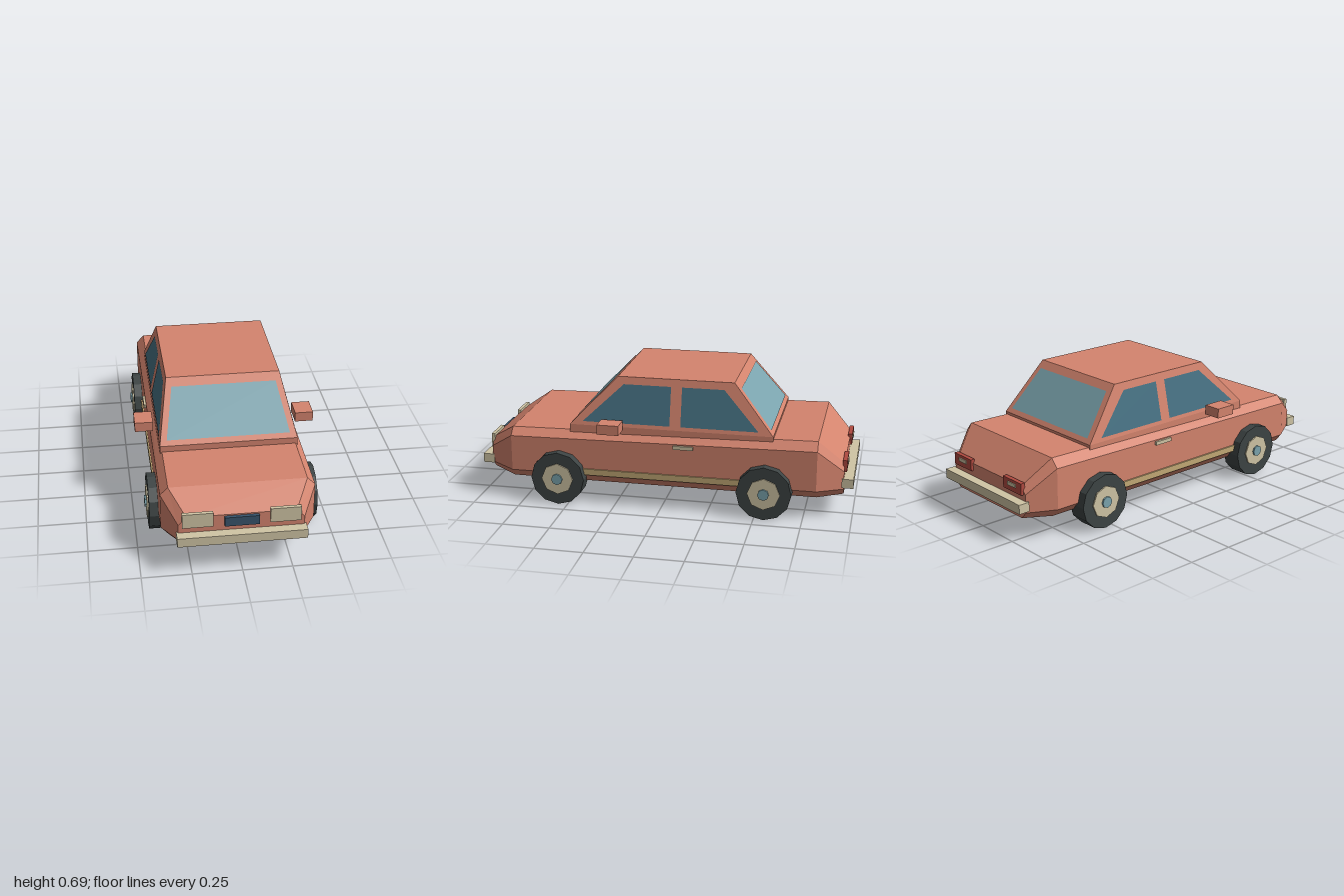
import * as THREE from 'three';

const mat = (name, color, side = THREE.FrontSide) => {
  const m = new THREE.MeshStandardMaterial({ color, flatShading: true, side });
  m.name = name;
  return m;
};

// Skin a row of closed rings and cap both ends
function loft(rings) {
  const pos = [];
  const tri = (...pts) => pts.forEach(p => pos.push(...p));
  const n = rings[0].length;
  for (let r = 0; r < rings.length - 1; r++) {
    for (let i = 0; i < n; i++) {
      const j = (i + 1) % n, a = rings[r], b = rings[r + 1];
      tri(a[i], a[j], b[j]);
      tri(a[i], b[j], b[i]);
    }
  }
  const first = rings[0], last = rings[rings.length - 1];
  for (let i = 1; i < n - 1; i++) {
    tri(first[0], first[i + 1], first[i]);
    tri(last[0], last[i], last[i + 1]);
  }
  return fromPositions(pos);
}

function fromPositions(pos) {
  const g = new THREE.BufferGeometry();
  g.setAttribute('position', new THREE.Float32BufferAttribute(pos, 3));
  g.computeVertexNormals();
  return g;
}

// Flat four-cornered panel
const panel = ([a, b, c, d]) => fromPositions([a, b, c, a, c, d].flat());

// Eight-sided body section with chamfered corners
function bodyRing(z, wide, flat, bottom, low, high, top) {
  return [[flat, bottom, z], [wide, low, z], [wide, high, z], [flat, top, z],
    [-flat, top, z], [-wide, high, z], [-wide, low, z], [-flat, bottom, z]];
}

// Cabin outline at height y: half width, front z, rear z
function cabinAt(y) {
  const t = Math.max(0, (y - 0.43) / 0.26);
  return { w: 0.355 - 0.058 * t, f: 0.495 - 0.252 * t, r: -0.585 + 0.212 * t };
}

export function createModel() {
  const car = new THREE.Group();
  car.name = 'car';
  const paint = mat('bodyPaint', 0xd4846e);
  const glass = mat('paleGlass', 0x7ba4ae, THREE.DoubleSide);
  const sideGlass = mat('sideGlass', 0x457082, THREE.DoubleSide);
  const cream = mat('creamTrim', 0xd0c5a5);
  const gold = mat('goldTrim', 0xc4aa76);
  const rubber = mat('tyreRubber', 0x3d4444);
  const navy = mat('grilleNavy', 0x38546c);
  const red = mat('lampRed', 0xb04a40);

  const add = (name, geo, material) => {
    const m = new THREE.Mesh(geo, material);
    m.name = name;
    car.add(m);
    return m;
  };
  // Box given by its extents on each axis
  const box = (name, material, [x0, x1], [y0, y1], [z0, z1]) =>
    add(name, new THREE.BoxGeometry(x1 - x0, y1 - y0, z1 - z0), material)
      .position.set((x0 + x1) / 2, (y0 + y1) / 2, (z0 + z1) / 2);
  const mirrored = (s, a, b) => (s > 0 ? [a, b] : [-b, -a]);

  // Lower body
  add('body', loft([
    bodyRing(-0.95, 0.305, 0.27, 0.117, 0.155, 0.25, 0.285),
    bodyRing(-0.815, 0.385, 0.345, 0.115, 0.16, 0.375, 0.42),
    bodyRing(0.815, 0.385, 0.345, 0.115, 0.16, 0.352, 0.392),
    bodyRing(0.95, 0.31, 0.27, 0.132, 0.172, 0.26, 0.303),
  ]), paint);

  // Cabin with a short upright base
  add('cabin', loft([0.37, 0.43, 0.69].map(y => {
    const { w, f, r } = cabinAt(y);
    return [[w, y, f], [w, y, r], [-w, y, r], [-w, y, f]];
  })), paint);

  // Windscreen and rear window
  const lo = 0.453, hi = 0.655, gap = 0.004;
  const a = cabinAt(lo), b = cabinAt(hi);
  for (const [name, key, s] of [['windscreen', 'f', 1], ['rearWindow', 'r', -1]]) {
    add(name, panel([
      [-s * 0.318, lo, a[key] + s * gap], [s * 0.318, lo, a[key] + s * gap],
      [s * 0.272, hi, b[key] + s * gap], [-s * 0.272, hi, b[key] + s * gap],
    ]), glass);
  }

  for (const s of [1, -1]) {
    // Side windows: front and rear z at the sill, then at the top
    for (const [name, f0, r0, f1, r1] of [
      ['frontSideWindow', 0.425, -0.042, 0.21, -0.042],
      ['rearSideWindow', -0.1, -0.508, -0.1, -0.322],
    ]) {
      const x0 = s * (a.w + gap), x1 = s * (b.w + gap);
      const pts = [[x0, 0.45, f0], [x0, 0.45, r0], [x1, 0.652, r1], [x1, 0.652, f1]];
      add(name, panel(s > 0 ? pts : pts.reverse()), sideGlass);
    }

    // Mirrors, handles, sill strips and lamps
    box('mirror', paint, mirrored(s, 0.375, 0.47), [0.421, 0.473], [0.203, 0.318]);
    box('doorHandle', cream, mirrored(s, 0.375, 0.397), [0.34, 0.359], [-0.173, -0.068]);
    box('sillStrip', gold, mirrored(s, 0.375, 0.393), [0.162, 0.195], [-0.48, 0.48]);
    box('headlight', cream, mirrored(s, 0.14, 0.292), [0.245, 0.323], [0.94, 0.959]);
    box('tailLight', red, mirrored(s, 0.14, 0.288), [0.245, 0.306], [-0.963, -0.94]);
    box('reverseLight', cream, mirrored(s, 0.18, 0.245), [0.272, 0.291], [-0.968, -0.96]);

    // Wheels: tyre, rim and hub cap as stacked discs
    for (const z of [0.55, -0.55]) {
      const wheel = new THREE.Group();
      wheel.name = z > 0 ? 'frontWheel' : 'rearWheel';
      for (const [name, radius, sides, x0, x1, material] of [
        ['tyre', 0.144, 12, 0.325, 0.431, rubber],
        ['rim', 0.085, 8, 0.4, 0.438, cream],
        ['hubCap', 0.03, 8, 0.42, 0.447, glass],
      ]) {
        const geo = new THREE.CylinderGeometry(radius, radius, x1 - x0, sides);
        const disc = new THREE.Mesh(geo.rotateZ(Math.PI / 2), material);
        disc.name = name;
        disc.position.x = s * (x0 + x1) / 2;
        wheel.add(disc);
      }
      wheel.position.set(0, 0.144, z);
      car.add(wheel);
    }
  }

  // Grille and bumpers
  box('grille', navy, [-0.085, 0.085], [0.246, 0.296], [0.94, 0.968]);
  box('frontBumper', cream, [-0.32, 0.32], [0.166, 0.215], [0.94, 1]);
  box('rearBumper', cream, [-0.32, 0.32], [0.166, 0.215], [-1, -0.94]);
  return car;
}
